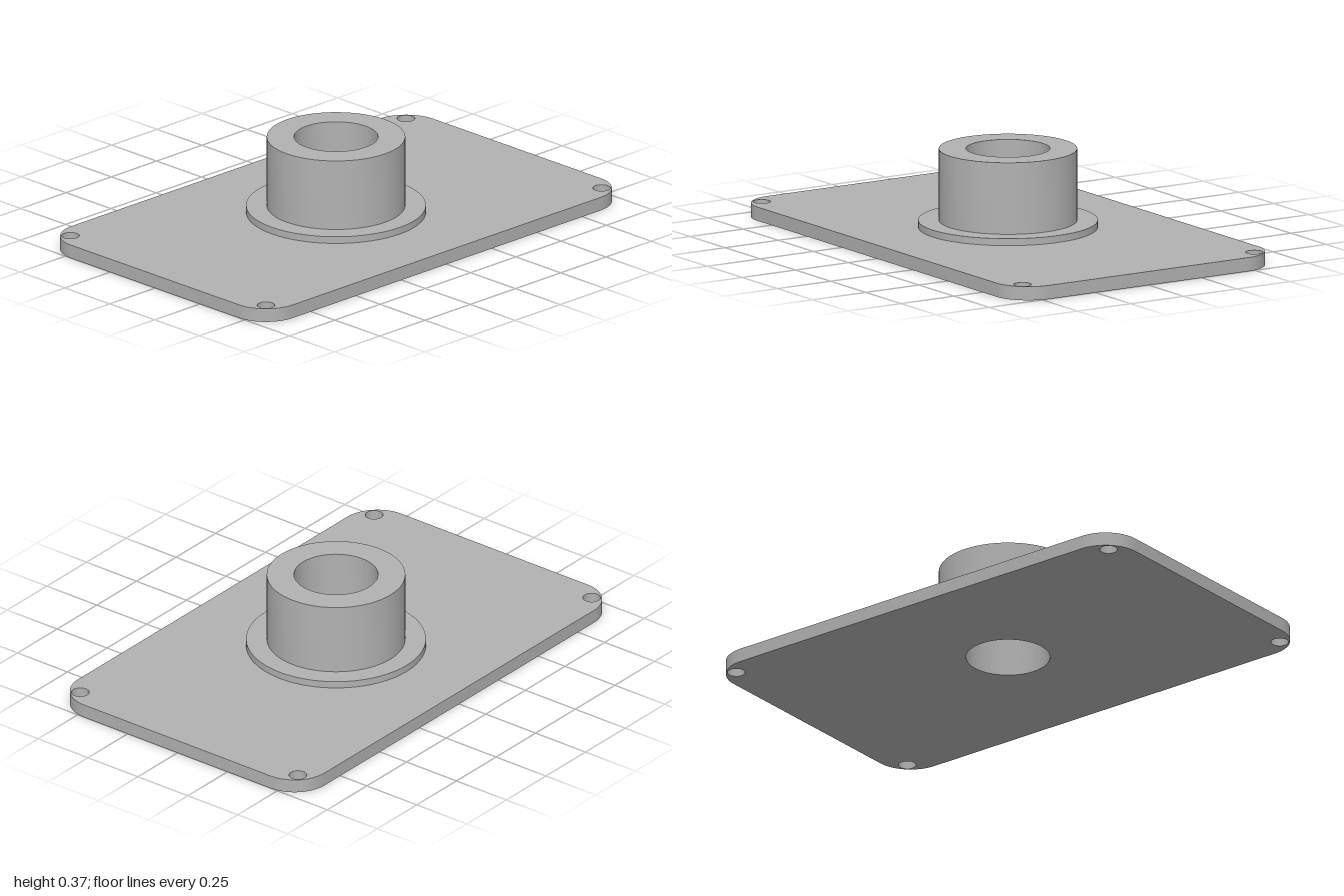
import * as THREE from 'three';
import { toCreasedNormals } from 'three/addons/utils/BufferGeometryUtils.js';

const HALF_X = 1, HALF_Z = 0.617, CORNER = 0.15;
const PLATE_TOP = 0.055, FLANGE_TOP = 0.083, HUB_TOP = 0.37;
const BORE = 0.165, HUB = 0.272, FLANGE = 0.353;

function circleHole(x, y, r) {
  return new THREE.Path().absarc(x, y, r, 0, Math.PI * 2, true);
}

// Rounded rectangular plate with a central bore and four corner screw holes
function plateGeometry() {
  const x = HALF_X - CORNER, y = HALF_Z - CORNER, q = Math.PI / 2;
  const shape = new THREE.Shape();
  shape.absarc(x, y, CORNER, 0, q);
  shape.absarc(-x, y, CORNER, q, 2 * q);
  shape.absarc(-x, -y, CORNER, 2 * q, 3 * q);
  shape.absarc(x, -y, CORNER, 3 * q, 4 * q);
  shape.closePath();
  shape.holes.push(circleHole(0, 0, BORE));
  for (const sx of [-1, 1]) {
    for (const sy of [-1, 1]) shape.holes.push(circleHole(sx * 0.927, sy * 0.545, 0.035));
  }
  const geometry = new THREE.ExtrudeGeometry(shape, { depth: PLATE_TOP, bevelEnabled: false, curveSegments: 32 });
  geometry.rotateX(-Math.PI / 2);
  return toCreasedNormals(geometry, 0.6);
}

// Stepped ring: low flange, tall hub and the bore wall
function hubGeometry() {
  const profile = [
    [FLANGE, PLATE_TOP], [FLANGE, FLANGE_TOP], [HUB, FLANGE_TOP],
    [HUB, HUB_TOP], [BORE, HUB_TOP], [BORE, PLATE_TOP],
  ].map(([r, y]) => new THREE.Vector2(r, y));
  return toCreasedNormals(new THREE.LatheGeometry(profile, 64), 0.6);
}

export function createModel() {
  const group = new THREE.Group();
  group.name = 'flangedMountingPlate';
  const grey = new THREE.MeshStandardMaterial({ color: 0xb2b2b2 });
  grey.name = 'grey';

  const plate = new THREE.Mesh(plateGeometry(), grey);
  plate.name = 'basePlate';
  const hub = new THREE.Mesh(hubGeometry(), grey);
  hub.name = 'flangedHub';
  group.add(plate, hub);
  return group;
}
